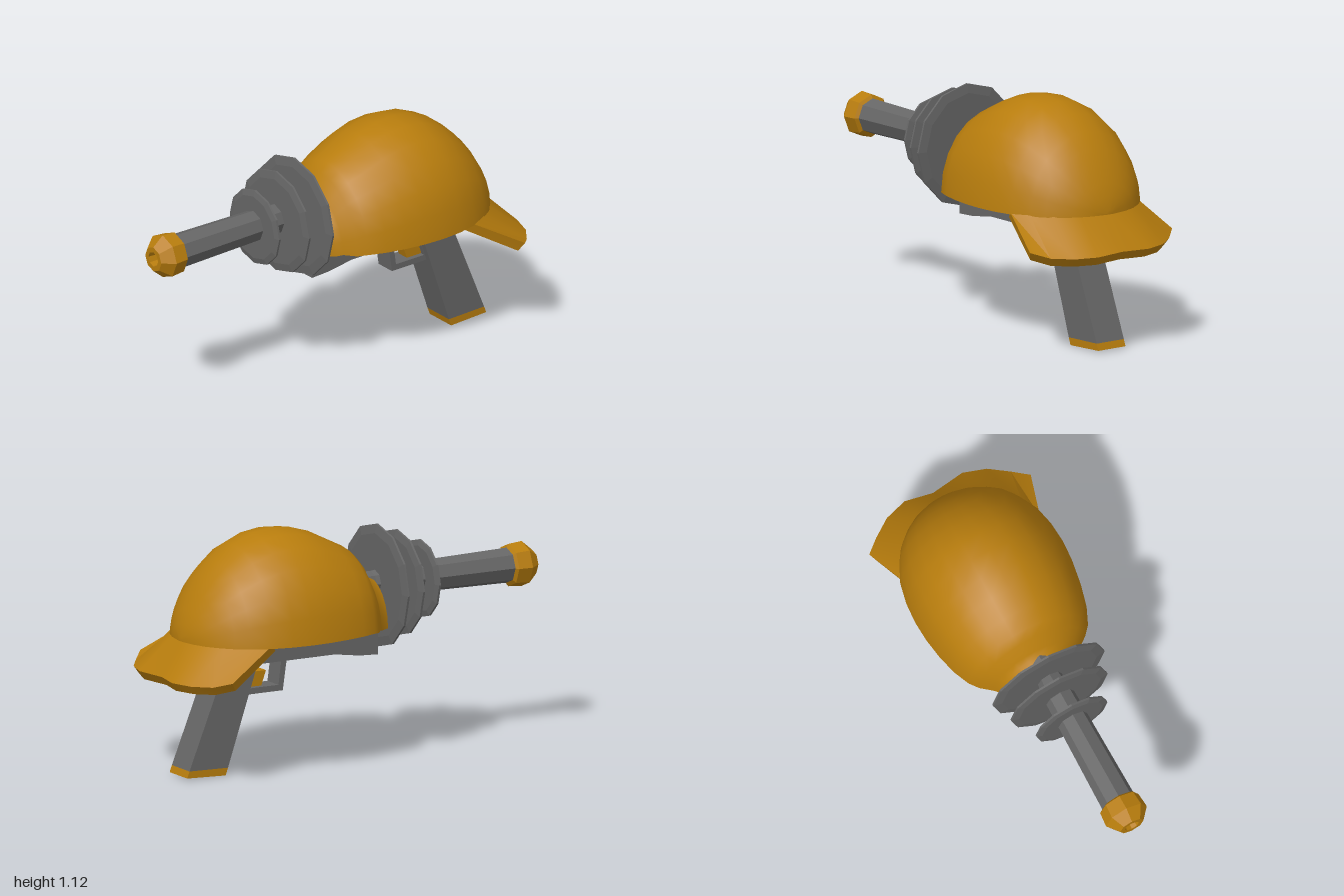
import * as THREE from 'three';
import { toCreasedNormals } from 'three/addons/utils/BufferGeometryUtils.js';

const CX = -0.02; // the gun's centre line

const orange = new THREE.MeshStandardMaterial({ color: 0xb87d0d });
const orangeFlat = new THREE.MeshStandardMaterial({ color: 0xb87d0d, flatShading: true });
const grey = new THREE.MeshStandardMaterial({ color: 0x666666, flatShading: true });

// Skin closed rings of points; both ends are capped
function loft(rings) {
  const pos = [];
  const tri = (a, b, c) => pos.push(...a, ...b, ...c);
  const n = rings[0].length;
  for (let i = 0; i < rings.length - 1; i++) {
    for (let j = 0; j < n; j++) {
      const k = (j + 1) % n;
      const [a, b, c, d] = [rings[i][j], rings[i][k], rings[i + 1][k], rings[i + 1][j]];
      tri(a, b, c);
      tri(a, c, d);
    }
  }
  const first = rings[0], last = rings[rings.length - 1];
  for (let j = 1; j < n - 1; j++) {
    tri(first[0], first[j + 1], first[j]);
    tri(last[0], last[j], last[j + 1]);
  }
  const g = new THREE.BufferGeometry();
  g.setAttribute('position', new THREE.Float32BufferAttribute(pos, 3));
  g.computeVertexNormals();
  return g;
}

// Extrude a side outline of [z, y] points to a width across x
function sidePlate(points, width, hole) {
  const toV = ([z, y]) => new THREE.Vector2(-z, y);
  const shape = new THREE.Shape(points.map(toV));
  if (hole) shape.holes.push(new THREE.Path(hole.map(toV)));
  const g = new THREE.ExtrudeGeometry(shape, { depth: width, bevelEnabled: false });
  g.rotateY(Math.PI / 2);
  g.translate(CX - width / 2, 0, 0);
  return g;
}

// Turn a profile of [radius, z] points about the barrel axis
function turned(profile, sides, y) {
  const g = new THREE.LatheGeometry(profile.map(([r, z]) => new THREE.Vector2(r, z)), sides);
  g.rotateX(Math.PI / 2);
  g.translate(CX + 0.003, y, 0);
  return g;
}

export function createModel() {
  const model = new THREE.Group();
  model.name = 'rayGun';
  const add = (name, geometry, material) => {
    const mesh = new THREE.Mesh(geometry, material);
    mesh.name = name;
    model.add(mesh);
  };

  // Domed shell: half-ellipse sections as [z, half width, top, base]
  const sections = [
    [-0.88, 0.02, 0.66, 0.64], [-0.865, 0.1, 0.72, 0.64], [-0.84, 0.165, 0.78, 0.64],
    [-0.8, 0.225, 0.855, 0.64], [-0.75, 0.28, 0.93, 0.64], [-0.69, 0.32, 0.995, 0.64],
    [-0.6, 0.362, 1.065, 0.64], [-0.5, 0.383, 1.108, 0.64], [-0.4, 0.39, 1.122, 0.64],
    [-0.3, 0.385, 1.115, 0.64], [-0.2, 0.37, 1.085, 0.64], [-0.1, 0.345, 1.035, 0.64],
    [-0.02, 0.31, 0.995, 0.638], [0.02, 0.275, 0.955, 0.63], [0.06, 0.225, 0.88, 0.63],
    [0.08, 0.2, 0.855, 0.62], [0.13, 0.17, 0.83, 0.62],
  ];
  const steps = 12;
  const shell = loft(sections.map(([z, w, top, base]) =>
    Array.from({ length: steps + 1 }, (_, i) => {
      const a = (i / steps) * Math.PI;
      return [CX + w * Math.cos(a), base + (top - base) * Math.sin(a), z];
    })));
  add('shell', toCreasedNormals(shell, 0.65), orange);

  // Flared rear brim: [inner x, inner z, outer x, outer z, outer y], mirrored
  const half = [
    [0.35, -0.59, 0.42, -0.835, 0.51],
    [0.31, -0.68, 0.35, -0.9, 0.485],
    [0.24, -0.77, 0.26, -0.965, 0.48],
    [0.13, -0.83, 0.15, -1.0, 0.48],
  ];
  const stations = [
    ...half,
    [0, -0.855, -0.015, -0.975, 0.48],
    ...half.map(([a, b, c, d, e]) => [-a, b, -c, d, e]).reverse(),
  ];
  const brim = loft(stations.map(([ix, iz, ox, oz, oy]) => [
    [ix + CX / 2, 0.65, iz],
    [ox, oy, oz],
    [ox * 0.95, oy - 0.04, oz + 0.025],
    [(ix + CX / 2) * 0.95, 0.62, iz + 0.03],
  ]));
  add('brim', toCreasedNormals(brim, 0.5), orange);

  // Frame and raked grip in one outline
  add('frame', sidePlate([
    [0.13, 0.625], [0.13, 0.48], [0.03, 0.485], [-0.1, 0.505], [-0.515, 0.505],
    [-0.672, 0.035], [-0.878, 0.04], [-0.69, 0.505], [-0.57, 0.645], [-0.05, 0.645],
  ], 0.16), grey);
  add('gripCap', sidePlate([[-0.672, 0.035], [-0.685, 0], [-0.89, 0.008], [-0.878, 0.04]], 0.16), orangeFlat);

  // Trigger and its guard
  add('triggerGuard', sidePlate(
    [[-0.34, 0.51], [-0.362, 0.36], [-0.57, 0.36], [-0.53, 0.51]], 0.1,
    [[-0.37, 0.5], [-0.385, 0.388], [-0.55, 0.388], [-0.515, 0.5]]), grey);
  add('trigger', sidePlate([[-0.44, 0.46], [-0.465, 0.39], [-0.56, 0.39], [-0.52, 0.46]], 0.06), orangeFlat);

  // Barrel and hollow tip
  add('barrel', turned([[0.055, 0.08], [0.055, 0.14], [0.072, 0.27], [0.083, 0.87], [0.08, 0.935], [0, 0.935]], 8, 0.802), grey);
  add('barrelTip', turned([
    [0.075, 0.86], [0.1, 0.875], [0.106, 0.945], [0.06, 1], [0.036, 1], [0.03, 0.93],
  ], 8, 0.801), orangeFlat);

  // Three rings around the barrel, shrinking toward the tip
  [[0.173, 0.29, 0.786], [0.278, 0.25, 0.788], [0.402, 0.184, 0.793]].forEach(([z, r, y], i) => {
    const profile = [[0, z - 0.012], [r * 0.85, z - 0.012], [r, z - 0.005], [r, z + 0.005], [r * 0.85, z + 0.012], [0, z + 0.012]];
    add('barrelRing' + (i + 1), turned(profile, 12, y), grey);
  });

  return model;
}
